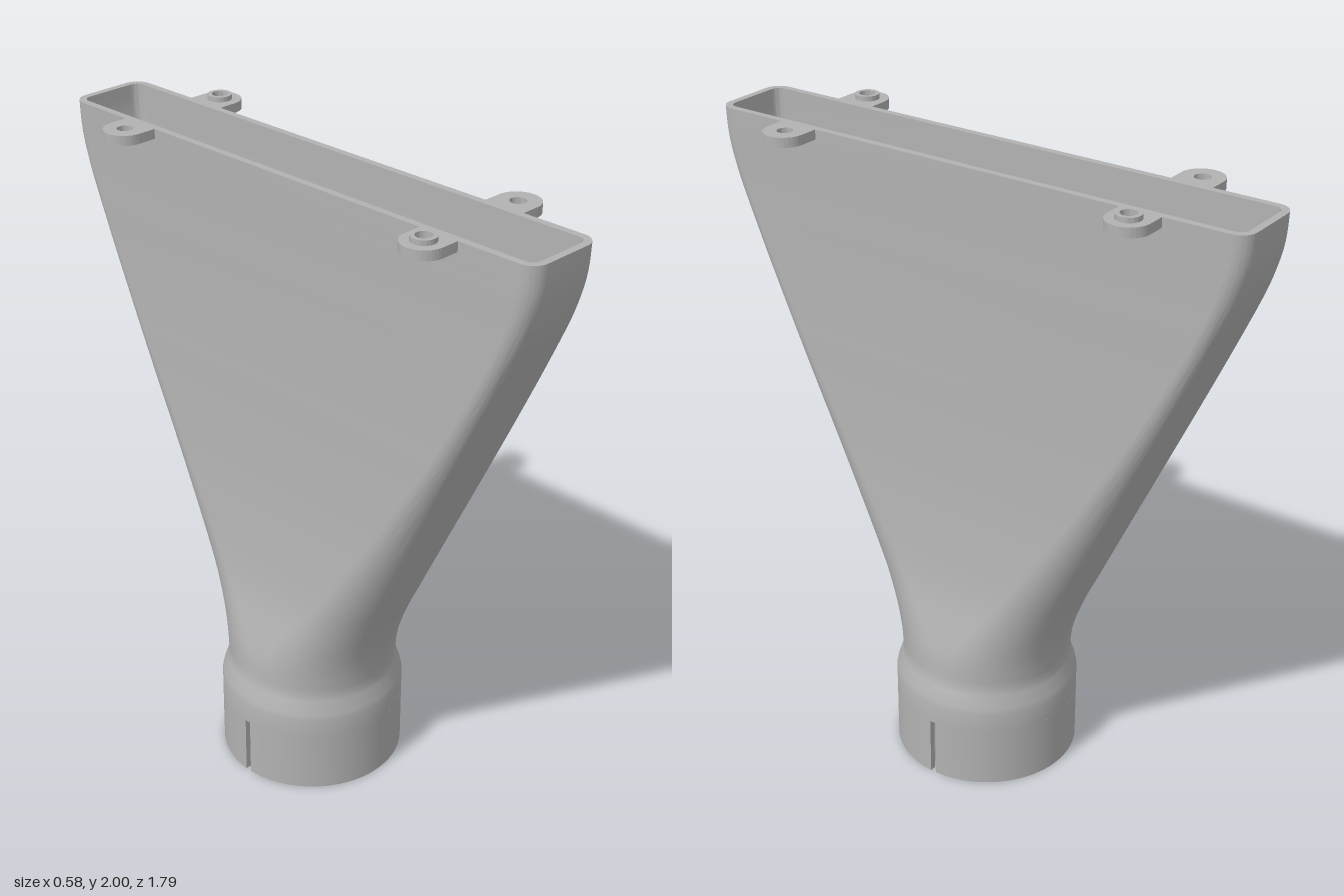
import * as THREE from 'three';
import { toCreasedNormals } from 'three/addons/utils/BufferGeometryUtils.js';

const SLOT_TOP = 0.195, TOP = 1.985, WALL = 0.022;
const CORNER = 16; // segments per rounded corner

// Rounded-rectangle ring: half widths a (x) and b (z), corner radius r, height y
function ring(a, b, r, y) {
  const pts = [];
  const signs = [[1, 1], [-1, 1], [-1, -1], [1, -1]];
  signs.forEach(([sx, sz], q) => {
    for (let i = 0; i <= CORNER; i++) {
      const t = (q + i / CORNER) * Math.PI / 2;
      pts.push([sx * (a - r) + r * Math.cos(t), y, sz * (b - r) + r * Math.sin(t)]);
    }
  });
  return pts;
}

// Skin a closed list of rings (outside going up, inside coming down)
function loft(rings) {
  const n = rings[0].length, pos = [], idx = [];
  rings.forEach(r => r.forEach(p => pos.push(...p)));
  for (let i = 0; i < rings.length; i++) {
    const k = (i + 1) % rings.length;
    for (let j = 0; j < n; j++) {
      const m = (j + 1) % n;
      const p = i * n + j, q = i * n + m, u = k * n + j, v = k * n + m;
      idx.push(p, u, q, q, u, v);
    }
  }
  const g = new THREE.BufferGeometry();
  g.setAttribute('position', new THREE.Float32BufferAttribute(pos, 3));
  g.setIndex(idx);
  return toCreasedNormals(g, 0.45);
}

// Extrude a plan shape upward from height y
function slab(shape, y, height) {
  const g = new THREE.ExtrudeGeometry(shape, { depth: height, bevelEnabled: false, curveSegments: 32 });
  g.rotateX(-Math.PI / 2).translate(0, y, 0);
  return toCreasedNormals(g, 0.45);
}

export function createModel() {
  const group = new THREE.Group();
  const grey = new THREE.MeshStandardMaterial({ color: 0xb2b2b2 });
  grey.name = 'grey plastic';
  const add = (name, geometry, parent = group) => {
    const mesh = new THREE.Mesh(geometry, grey);
    mesh.name = name;
    parent.add(mesh);
    return mesh;
  };

  // Funnel stations: half width x, height, half width z
  const stations = [
    [0.265, 0.34, 0.268], [0.256, 0.42, 0.276], [0.236, 0.5, 0.297], [0.209, 0.6, 0.335],
    [0.191, 0.7, 0.38], [0.175, 0.84, 0.442], [0.161, 1.0, 0.513], [0.15, 1.2, 0.602],
    [0.14, 1.4, 0.692], [0.134, 1.58, 0.773], [0.131, 1.7, 0.826], [0.13, 1.78, 0.858],
    [0.13, 1.86, 0.882], [0.13, 1.92, 0.892], [0.13, TOP, 0.895],
  ].map(p => new THREE.Vector3(...p));
  const path = new THREE.CatmullRomCurve3(stations, false, 'catmullrom', 0.5);
  const outer = [], inner = [];
  const steps = (stations.length - 1) * 3;
  for (let i = 0; i <= steps; i++) {
    const { x: a, y, z: b } = path.getPoint(i / steps);
    const r = Math.min(a, b) * (1 - 0.615 * THREE.MathUtils.smoothstep(y, 0.34, 1.6));
    outer.push(ring(a, b, r, y));
    inner.unshift(ring(a - WALL, b - WALL, r - WALL, y));
  }

  // Funnel body with the upper collar and its inner stop step
  const circle = (r, y) => ring(r, r, r, y);
  add('funnel', loft([
    circle(0.29, SLOT_TOP), circle(0.29, 0.262), circle(0.286, 0.28), circle(0.272, 0.322),
    ...outer, ...inner,
    circle(0.247, 0.27), circle(0.27, 0.262), circle(0.27, SLOT_TOP),
  ]));

  // Lower collar: two half rings separated by narrow slots at the sides
  const half = 0.01;
  const t0 = Math.asin(half / 0.29), t1 = Math.asin(half / 0.27);
  for (const side of [0, 1]) {
    const s = new THREE.Shape();
    s.absarc(0, 0, 0.29, t0, Math.PI - t0, false);
    s.absarc(0, 0, 0.27, Math.PI - t1, t1, true);
    s.closePath();
    add('collarHalf', slab(s, 0, SLOT_TOP)).rotation.y = side * Math.PI;
  }

  // Mounting tabs with screw holes; one diagonal pair has raised rings
  const R = 0.065, X = 0.187, Z = 0.582, HOLE = 0.024;
  const hole = new THREE.Path().absarc(X, 0, HOLE, 0, Math.PI * 2, true);
  const tab = new THREE.Shape();
  tab.moveTo(0.122, -R);
  tab.lineTo(X, -R);
  tab.absarc(X, 0, R, -Math.PI / 2, Math.PI / 2, false);
  tab.lineTo(0.122, R);
  tab.closePath();
  tab.holes.push(hole);
  const boss = new THREE.Shape().absarc(X, 0, 0.037, 0, Math.PI * 2, false);
  boss.holes.push(hole);
  const tabGeometry = slab(tab, 1.955, TOP - 1.955);
  const bossGeometry = slab(boss, TOP, 2 - TOP);
  for (const sx of [1, -1]) {
    for (const sz of [1, -1]) {
      const mount = new THREE.Group();
      mount.name = 'mountingTab';
      mount.position.z = sz * Z;
      mount.rotation.y = sx > 0 ? 0 : Math.PI;
      add('tabPlate', tabGeometry, mount);
      if (sx !== sz) add('raisedRing', bossGeometry, mount);
      group.add(mount);
    }
  }
  return group;
}
